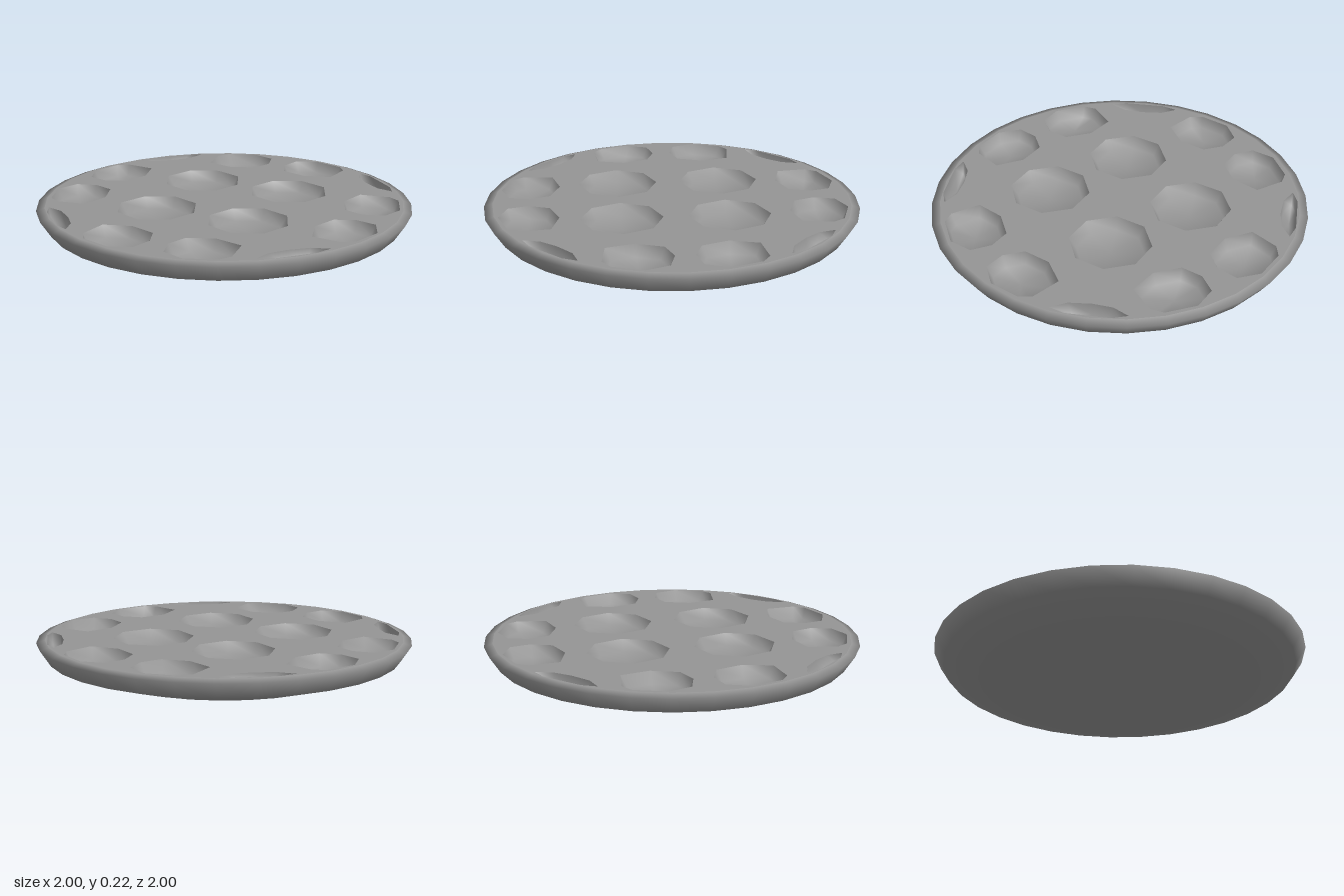
import * as THREE from 'three';
import { mergeGeometries } from 'three/addons/utils/BufferGeometryUtils.js';

const SIDES = 32, TOP = 0.22, RIM = 0.955, DEPTH = 0.06;

// Octagonal pocket outlines [x, z] in one quadrant
const ring = (cx, cz, r) => Array.from({ length: 8 }, (_, i) =>
  [cx + r * Math.cos(i * Math.PI / 4), cz + r * Math.sin(i * Math.PI / 4)]);
const inner = ring(0.26, 0.28, 0.215);
const edge = [[0.05, 0.76], [0.09, 0.65], [0.23, 0.6], [0.38, 0.64],
  [0.4, 0.8], [0.36, 0.86], [0.2, 0.915], [0.08, 0.87]];
const sideEdge = edge.map(([x, z]) => [z, x]);
const sliver = [[0.51, 0.78], [0.535, 0.69], [0.6, 0.61], [0.69, 0.535],
  [0.78, 0.51], [0.745, 0.585], [0.665, 0.665], [0.585, 0.745]];

const centroid = (pts) => [0, 1].map((k) => pts.reduce((s, p) => s + p[k], 0) / pts.length);

// Mirror an outline and restore its turning direction
function mirror(pts, sx, sz) {
  const out = pts.map(([x, z]) => [x * sx, z * sz]);
  const [cx, cz] = centroid(out);
  const angle = (p) => Math.atan2(p[1] - cz, p[0] - cx);
  return out.sort((a, b) => angle(a) - angle(b));
}

// Sloping walls and a slightly dished floor
function pocketGeometry(pts) {
  const [cx, cz] = centroid(pts), n = pts.length;
  const pos = [], index = [];
  for (const [x, z] of pts) pos.push(x, TOP, z);
  for (const [x, z] of pts) pos.push(cx + (x - cx) * 0.83, TOP - DEPTH, cz + (z - cz) * 0.83);
  pos.push(cx, TOP - DEPTH - 0.01, cz);
  for (let i = 0; i < n; i++) {
    const j = (i + 1) % n;
    index.push(n + i, n + j, i, n + j, j, i, 2 * n, n + j, n + i);
  }
  const g = new THREE.BufferGeometry();
  g.setAttribute('position', new THREE.Float32BufferAttribute(pos, 3));
  g.setIndex(index);
  g.computeVertexNormals();
  return g;
}

export function createModel() {
  const group = new THREE.Group();
  const material = new THREE.MeshStandardMaterial({ color: 0x959595 });
  const add = (name, geometry) => {
    const mesh = new THREE.Mesh(geometry, material);
    mesh.name = name;
    group.add(mesh);
  };

  // Shallow underside, outer edge and softly rounded rim
  const profile = [[0, 0], [0.71, 0.046], [0.945, 0.12], [1, 0.205], [RIM, TOP]]
    .map(([r, y]) => new THREE.Vector2(r, y));
  const underside = new THREE.LatheGeometry(profile, SIDES);
  underside.normalizeNormals();
  add('underside', underside);

  // Flat top pierced by the pockets
  const pockets = [];
  for (const sx of [1, -1]) for (const sz of [1, -1])
    for (const pts of [inner, edge, sideEdge, sliver]) pockets.push(mirror(pts, sx, sz));

  const shape = new THREE.Shape(Array.from({ length: SIDES }, (_, i) => {
    const a = i / SIDES * Math.PI * 2;
    return new THREE.Vector2(RIM * Math.cos(a), RIM * Math.sin(a));
  }));
  shape.holes = pockets.map((pts) =>
    new THREE.Path(pts.map(([x, z]) => new THREE.Vector2(x, -z))));
  const plate = new THREE.ShapeGeometry(shape);
  plate.rotateX(-Math.PI / 2).translate(0, TOP, 0);
  add('topPlate', plate);

  add('pockets', mergeGeometries(pockets.map(pocketGeometry)));
  return group;
}
